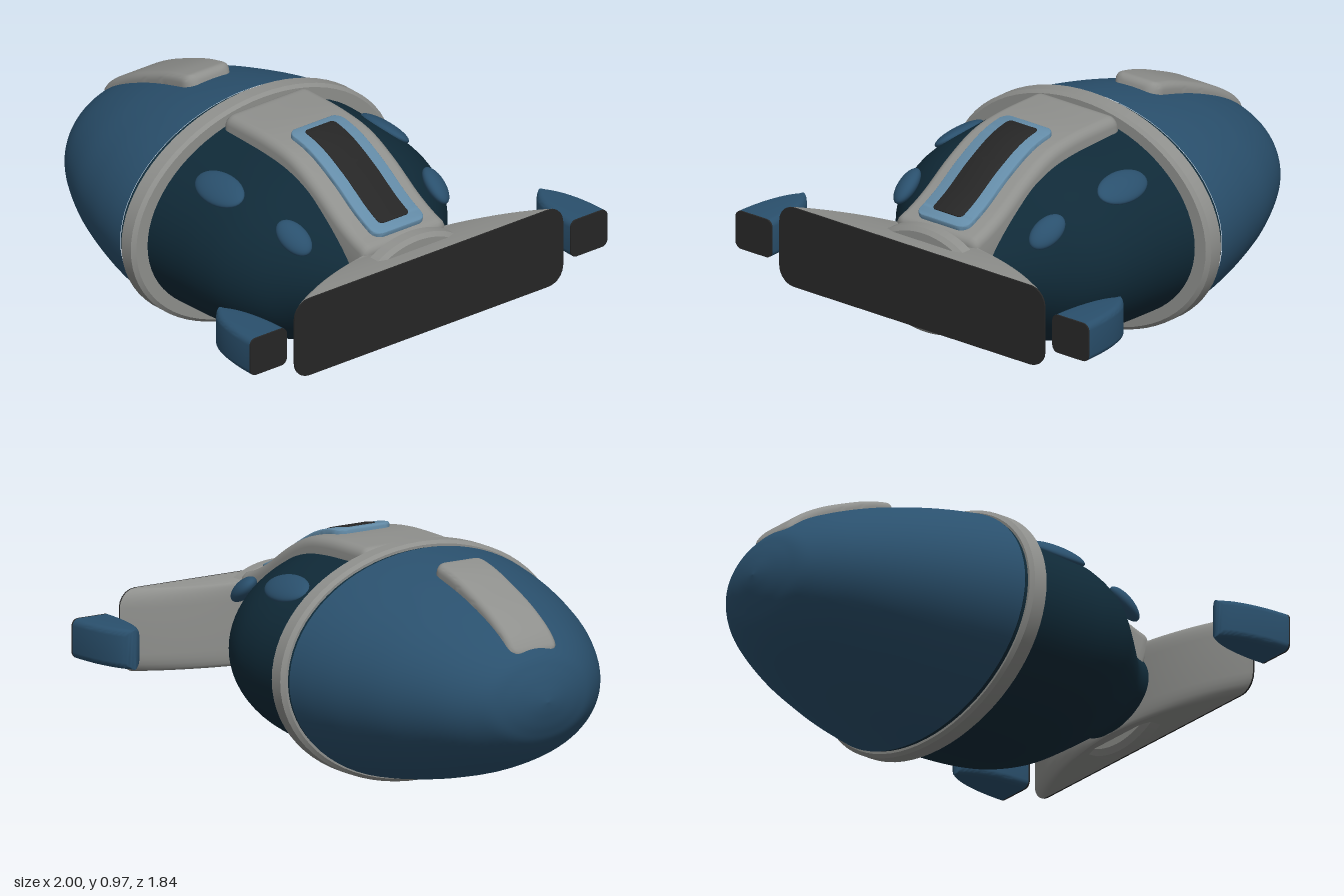
import * as THREE from 'three';
import { toCreasedNormals } from 'three/addons/utils/BufferGeometryUtils.js';

const CY = 0.49;    // height of the hull axis
const WIDE = 1.4;   // hull is wider than it is tall

const mat = (name, color) => Object.assign(new THREE.MeshStandardMaterial({ color }), { name });

// Rounded rectangle, counter-clockwise, from bottom b0 to top b1
function roundedRect(hw, b0, b1, radius, seg = 5) {
  const hh = (b1 - b0) / 2, mid = (b0 + b1) / 2;
  const r = Math.min(radius, hw * 0.9, hh * 0.9), ring = [];
  [[1, 1], [-1, 1], [-1, -1], [1, -1]].forEach(([sx, sy], q) => {
    for (let i = 0; i <= seg; i++) {
      const a = (q + i / seg) * Math.PI / 2;
      ring.push([sx * (hw - r) + r * Math.cos(a), mid + sy * (hh - r) + r * Math.sin(a)]);
    }
  });
  return ring;
}

// Skin a list of rings running toward +x and close both ends
function loft(sections) {
  const n = sections[0].length, last = (sections.length - 1) * n, idx = [];
  for (let i = 0; i < sections.length - 1; i++) {
    for (let j = 0; j < n; j++) {
      const a = i * n + j, b = i * n + (j + 1) % n;
      idx.push(a, b, a + n, b, b + n, a + n);
    }
  }
  for (let j = 1; j < n - 1; j++) idx.push(0, j + 1, j, last, last + j, last + j + 1);
  const geo = new THREE.BufferGeometry();
  geo.setAttribute('position', new THREE.Float32BufferAttribute(sections.flat().flatMap(p => p.toArray()), 3));
  geo.setIndex(idx);
  return toCreasedNormals(geo, 0.6);
}

// How far a rounded end of radius r pulls in at distance d from that end
const pull = (d, r) => (d < r ? r - Math.sqrt(r * r - (r - d) ** 2) : 0);

// Band with rounded ends laid along a curve in the xy plane
function ribbon(curve, { t0 = 0, t1 = 1, halfWidth, bottom, top, corner, bevel, steps = 44 }) {
  const length = curve.getLength() * (t1 - t0), sections = [];
  for (let i = 0; i <= steps; i++) {
    const s = (1 - Math.cos(Math.PI * i / steps)) / 2;
    const t = t0 + (t1 - t0) * s;
    const d = Math.min(s, 1 - s) * length;
    const c = curve.getPointAt(t), tan = curve.getTangentAt(t);
    const ring = roundedRect(halfWidth - pull(d, corner), bottom, top - pull(d, bevel), bevel);
    sections.push(ring.map(([a, b]) => new THREE.Vector3(c.x - tan.y * b, c.y + tan.x * b, -a)));
  }
  return loft(sections);
}

// Straight block along x whose half width follows a rule
function block(x0, x1, halfWidth, hh, radius, steps = 24) {
  const sections = [];
  for (let i = 0; i <= steps; i++) {
    const t = (i / steps) ** 2;
    const x = x0 + (x1 - x0) * t;
    sections.push(roundedRect(Math.max(halfWidth(t), 0.004), -hh, hh, radius)
      .map(([a, b]) => new THREE.Vector3(x, b, -a)));
  }
  return loft(sections);
}

// Elliptical turned part along x from [x, radius] pairs
function turned(pairs, { smooth = true, wide = WIDE } = {}) {
  let pts = pairs.map(([x, r]) => new THREE.Vector2(r, x));
  if (smooth) {
    pts = new THREE.SplineCurve(pts).getPoints(48);
    pts.forEach(p => { p.x = Math.max(p.x, 0); });
  }
  let geo = new THREE.LatheGeometry(pts, 72);
  if (!smooth) geo = toCreasedNormals(geo, 0.5);
  return geo.rotateZ(-Math.PI / 2).scale(1, 1, wide).translate(0, CY, 0);
}

const path = pts => new THREE.CatmullRomCurve3(pts.map(([x, y]) => new THREE.Vector3(x, y, 0)));

export function createModel() {
  const group = new THREE.Group();
  const blue = mat('hull blue', 0x2a506d);
  const navy = mat('dark navy', 0x102a38);
  const grey = mat('metal grey', 0x8f908d);
  const sky = mat('trim light blue', 0x648ca8);
  const black = mat('black', 0x262626);
  const add = (name, geo, material) => {
    const mesh = new THREE.Mesh(geo, material);
    mesh.name = name;
    group.add(mesh);
    return mesh;
  };

  // Hull
  add('noseShell', turned([[-1, 0], [-0.99, 0.055], [-0.965, 0.125], [-0.92, 0.192], [-0.8, 0.278],
    [-0.6, 0.362], [-0.4, 0.418], [-0.25, 0.449], [-0.135, 0.466]]), blue);
  add('noseSeam', turned([[-0.135, 0], [-0.135, 0.464], [-0.125, 0.458], [-0.1, 0.466]], { smooth: false }), navy);
  add('hullRing', turned([[-0.115, 0.44], [-0.115, 0.472], [-0.102, 0.485], [-0.043, 0.485],
    [-0.03, 0.472], [-0.03, 0]], { smooth: false, wide: 1.39 }), grey);
  add('rearHull', turned([[-0.05, 0.428], [0.1, 0.425], [0.25, 0.419], [0.38, 0.402], [0.5, 0.362],
    [0.6, 0.3], [0.7, 0.229], [0.77, 0.18], [0.83, 0.165], [0.9, 0.16]]), navy);
  add('rearCollar', turned([[0.855, 0], [0.855, 0.2], [0.872, 0.223], [0.918, 0.223],
    [0.932, 0.205], [0.932, 0]], { smooth: false, wide: 1.36 }), grey);

  // Raised plate on the nose
  const nosePath = path([[-0.925, 0.67], [-0.87, 0.74], [-0.75, 0.82], [-0.6, 0.887], [-0.48, 0.93], [-0.36, 0.957]]);
  add('nosePlate', ribbon(nosePath, { halfWidth: 0.115, bottom: -0.09, top: 0, corner: 0.05, bevel: 0.03 }), grey);

  // Spine over the rear hull, with framed dark window
  const spinePath = path([[-0.03, 0.955], [0.25, 0.95], [0.4, 0.925], [0.55, 0.853], [0.7, 0.757], [0.8, 0.71], [0.87, 0.69]]);
  add('spine', ribbon(spinePath, { halfWidth: 0.213, bottom: -0.2, top: 0, corner: 0.03, bevel: 0.04 }), grey);
  add('windowFrame', ribbon(spinePath, { t0: 0.313, t1: 0.955, halfWidth: 0.132, bottom: -0.02, top: 0.02, corner: 0.045, bevel: 0.008 }), sky);
  add('window', ribbon(spinePath, { t0: 0.352, t1: 0.902, halfWidth: 0.077, bottom: 0.016, top: 0.0235, corner: 0.02, bevel: 0.002 }), black);

  // Rear dish with black end face
  const dishWidth = t => 0.12 + 0.572 * Math.sqrt(t) - 0.12 * (1 - Math.sqrt(1 - (1 - t) ** 2)) ;
  add('rearDish', block(0.815, 0.993, dishWidth, 0.17, 0.075), grey).position.y = CY;
  add('dishEndFace', block(0.993, 1, () => 0.692, 0.17, 0.075, 1), black).position.y = CY;

  for (const side of [-1, 1]) {
    // Side pods with black end faces
    const z = side * 0.826;
    const podWidth = t => 0.094 * Math.sqrt(1 - (1 - t) ** 2);
    add('sidePod', block(0.692, 0.993, podWidth, 0.081, 0.028), blue).position.set(0, CY, z);
    add('podEndFace', block(0.993, 1, () => 0.094, 0.081, 0.028, 1), black).position.set(0, CY, z);

    // Oval bumps on the rear hull: x, y, z, half sizes, hull normal
    const bumps = [
      [0.21, 0.78, 0.425, [0.135, 0.03, 0.072], [0.06, 1.67, 1.2]],
      [0.6, 0.695, 0.365, [0.09, 0.035, 0.055], [1.15, 1.6, 1.25]],
    ];
    for (const [x, y, bz, size, n] of bumps) {
      const up = new THREE.Vector3(n[0], n[1], side * n[2]).normalize();
      const bump = add('hullBump', new THREE.SphereGeometry(1, 32, 20).scale(...size), blue);
      bump.position.set(x, y, side * bz);
      bump.quaternion.setFromUnitVectors(new THREE.Vector3(0, 1, 0), up);
    }
  }
  return group;
}
